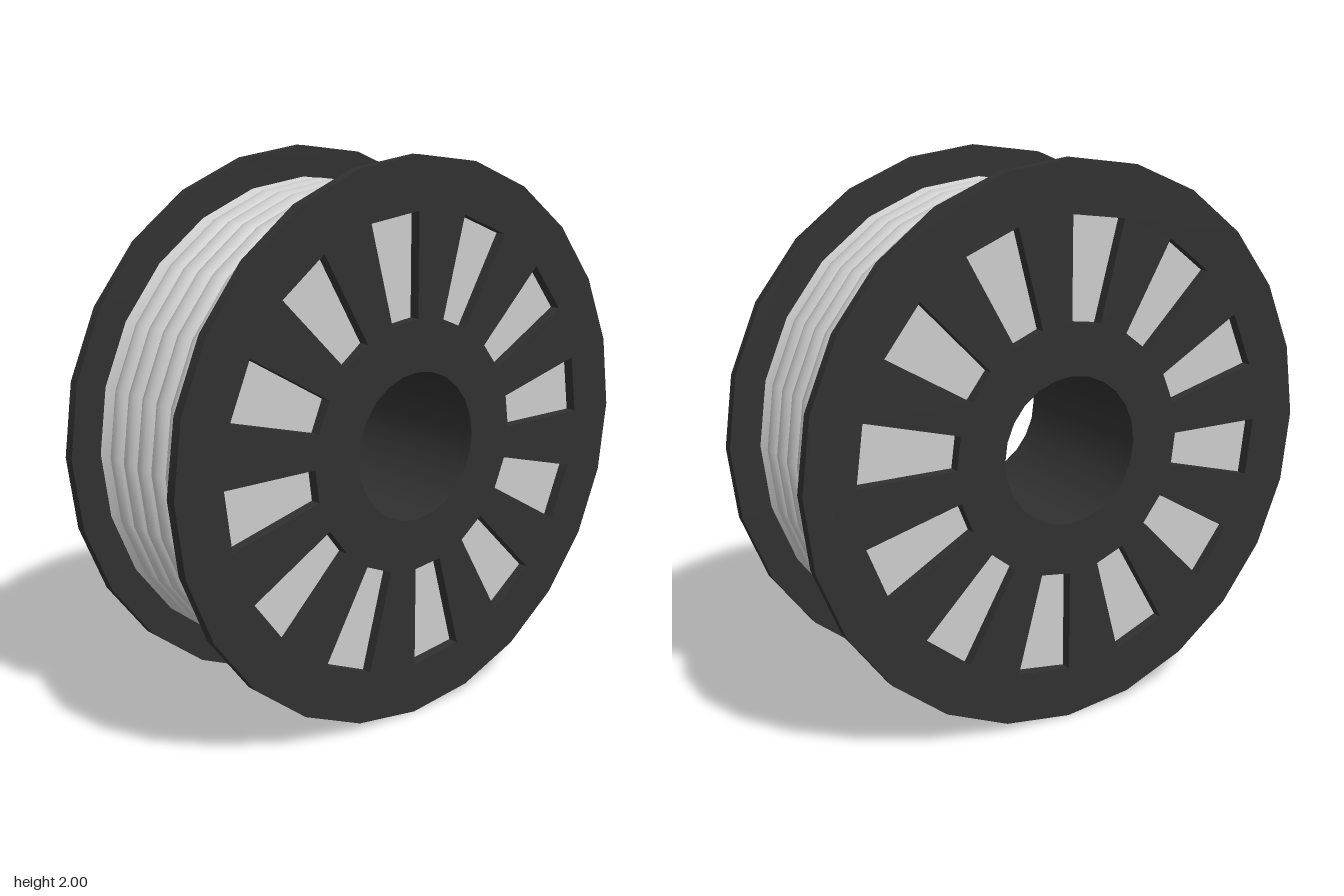
import * as THREE from 'three';
import { toCreasedNormals } from 'three/addons/utils/BufferGeometryUtils.js';

const SIDES = 24;
const BORE = 0.265;
const INNER = 0.292;  // half width between the flanges
const THICK = 0.04;   // flange thickness

const polar = (r, deg) => {
  const a = THREE.MathUtils.degToRad(deg);
  return new THREE.Vector2(r * Math.cos(a), r * Math.sin(a));
};
const ring = (r) => Array.from({ length: SIDES }, (_, i) => polar(r, (i * 360) / SIDES));

// Polygonal disc with a bore and twelve tapered windows
function flangeGeometry() {
  const shape = new THREE.Shape(ring(1));
  shape.holes.push(new THREE.Path(ring(BORE)));
  for (let k = 0; k < 12; k++) {
    const a = 90 + k * 30;
    shape.holes.push(new THREE.Path([
      polar(0.45, a), polar(0.815, a), polar(0.815, a + 15), polar(0.45, a + 15),
    ]));
  }
  const geo = new THREE.ExtrudeGeometry(shape, { depth: THICK, bevelEnabled: false });
  geo.translate(0, 0, -THICK / 2).rotateY(Math.PI / 2);
  return toCreasedNormals(geo, 0.3);
}

// Wound cable: six rounded ridges between flat end faces
function windingGeometry() {
  const ridges = 6, pitch = 0.085, valley = 0.863, height = 0.027, steps = 6;
  const half = pitch / 2;
  const R = (half * half + height * height) / (2 * height);
  const sweep = Math.asin(half / R);
  const profile = [
    new THREE.Vector2(BORE + 0.01, -INNER),
    new THREE.Vector2(0.888, -INNER),
  ];
  for (let i = 0; i < ridges; i++) {
    const mid = (i - (ridges - 1) / 2) * pitch;
    for (let j = i ? 1 : 0; j <= steps; j++) {
      const a = sweep * ((2 * j) / steps - 1);
      profile.push(new THREE.Vector2(valley + height - R + R * Math.cos(a), mid + R * Math.sin(a)));
    }
  }
  profile.push(new THREE.Vector2(0.888, INNER), new THREE.Vector2(BORE + 0.01, INNER));
  const geo = new THREE.LatheGeometry(profile, SIDES).rotateZ(Math.PI / 2);
  return toCreasedNormals(geo, 0.7);
}

export function createModel() {
  const model = new THREE.Group();
  model.name = 'cableSpool';
  const dark = new THREE.MeshStandardMaterial({ color: 0x303030 });
  const grey = new THREE.MeshStandardMaterial({ color: 0xcccccc });

  const add = (name, geo, mat, x = 0) => {
    const mesh = new THREE.Mesh(geo, mat);
    mesh.name = name;
    mesh.position.set(x, 1, 0);
    model.add(mesh);
  };

  // Flanges
  const flange = flangeGeometry();
  const offset = INNER + THICK / 2;
  add('leftFlange', flange, dark, offset);
  add('rightFlange', flange, dark, -offset);

  // Hub lining through the middle
  const hub = new THREE.CylinderGeometry(BORE, BORE, INNER * 2, SIDES, 1, true).rotateZ(Math.PI / 2);
  const hubMat = dark.clone();
  hubMat.side = THREE.DoubleSide;
  add('hub', hub, hubMat);

  // Cable
  add('cableWinding', windingGeometry(), grey);
  return model;
}
